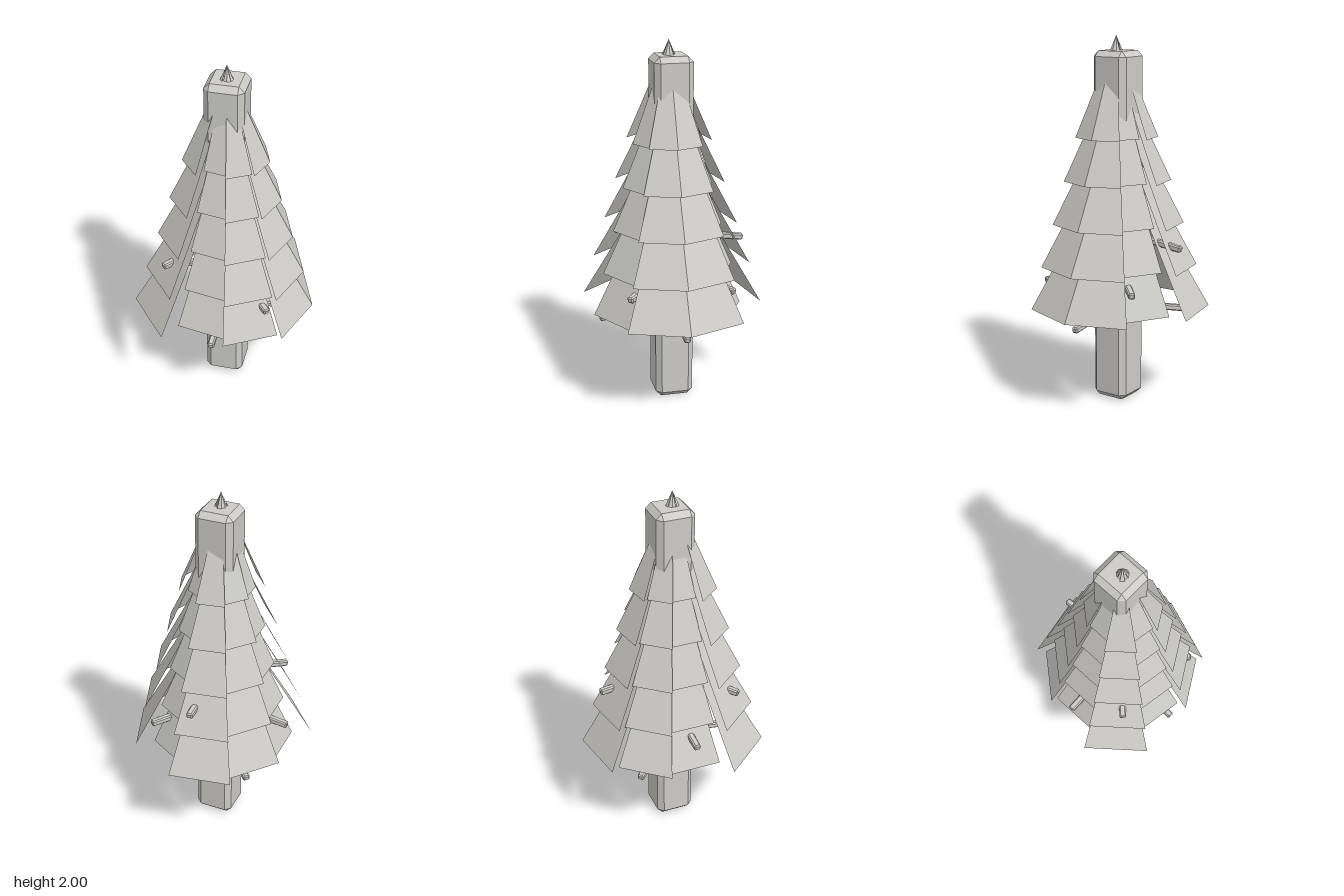
import * as THREE from 'three';
import { ConvexGeometry } from 'three/addons/geometries/ConvexGeometry.js';

// Box with cut edges and corners
function chamferedBox(w, h, d, c) {
  const pts = [];
  for (const sx of [-1, 1]) for (const sy of [-1, 1]) for (const sz of [-1, 1])
    for (let axis = 0; axis < 3; axis++) {
      const p = [w / 2, h / 2, d / 2].map((v, i) => (i === axis ? v : v - c));
      pts.push(new THREE.Vector3(sx * p[0], sy * p[1], sz * p[2]));
    }
  return new ConvexGeometry(pts);
}

export function createModel() {
  const tree = new THREE.Group();
  tree.name = 'tree';
  const grey = new THREE.MeshStandardMaterial({ color: 0xcccbc7, flatShading: true, side: THREE.DoubleSide });
  grey.name = 'warm grey';
  const axisZ = 0.02;

  const add = (name, geometry) => {
    const mesh = new THREE.Mesh(geometry, grey);
    mesh.name = name;
    tree.add(mesh);
    return mesh;
  };

  // Trunk
  add('trunk', chamferedBox(0.21, 1.92, 0.21, 0.03)).position.set(0, 0.96, axisZ);

  // Foliage: five open cones of nine uneven triangular panels
  const reach = [0.46, 0.46, 0.425, 0.372, 0.492, 0.385, 0.42, 0.47, 0.36];
  const tiers = [ // bottom height, cone height, scale
    [0.53, 0.87, 1], [0.763, 0.785, 0.87], [0.995, 0.7, 0.73], [1.228, 0.62, 0.595], [1.462, 0.538, 0.457],
  ];
  tiers.forEach(([bottom, height, scale], t) => {
    const x = Math.min(t, 1) * 0.005;
    const z = axisZ + t * 0.003;
    const verts = [];
    reach.forEach((r, i) => {
      const mid = (i * 40 - 20) * Math.PI / 180;
      const half = Math.PI / 9;
      const R = r * scale / Math.cos(half);
      const corner = (a) => [x + R * Math.cos(a), bottom, z + R * Math.sin(a)];
      verts.push(0, bottom + height, z, ...corner(mid + half), ...corner(mid - half));
    });
    const geo = new THREE.BufferGeometry();
    geo.setAttribute('position', new THREE.Float32BufferAttribute(verts, 3));
    geo.computeVertexNormals();
    add('foliageTier' + (t + 1), geo);
  });

  // Branches: level height and compass angles
  const levels = [[0.53, [0, 90, 225]], [0.735, [-45, 45, 180]], [0.945, [135, 270]]];
  for (const [y, angles] of levels) {
    for (const angle of angles) {
      const a = angle * Math.PI / 180;
      const from = new THREE.Vector3(0, y, axisZ);
      const to = new THREE.Vector3(0.405 * Math.cos(a), y - 0.055, axisZ + 0.405 * Math.sin(a));
      const branch = add('branch', chamferedBox(0.036, 0.034, from.distanceTo(to), 0.007));
      branch.position.copy(from).add(to).multiplyScalar(0.5);
      branch.lookAt(to);
    }
  }

  return tree;
}
